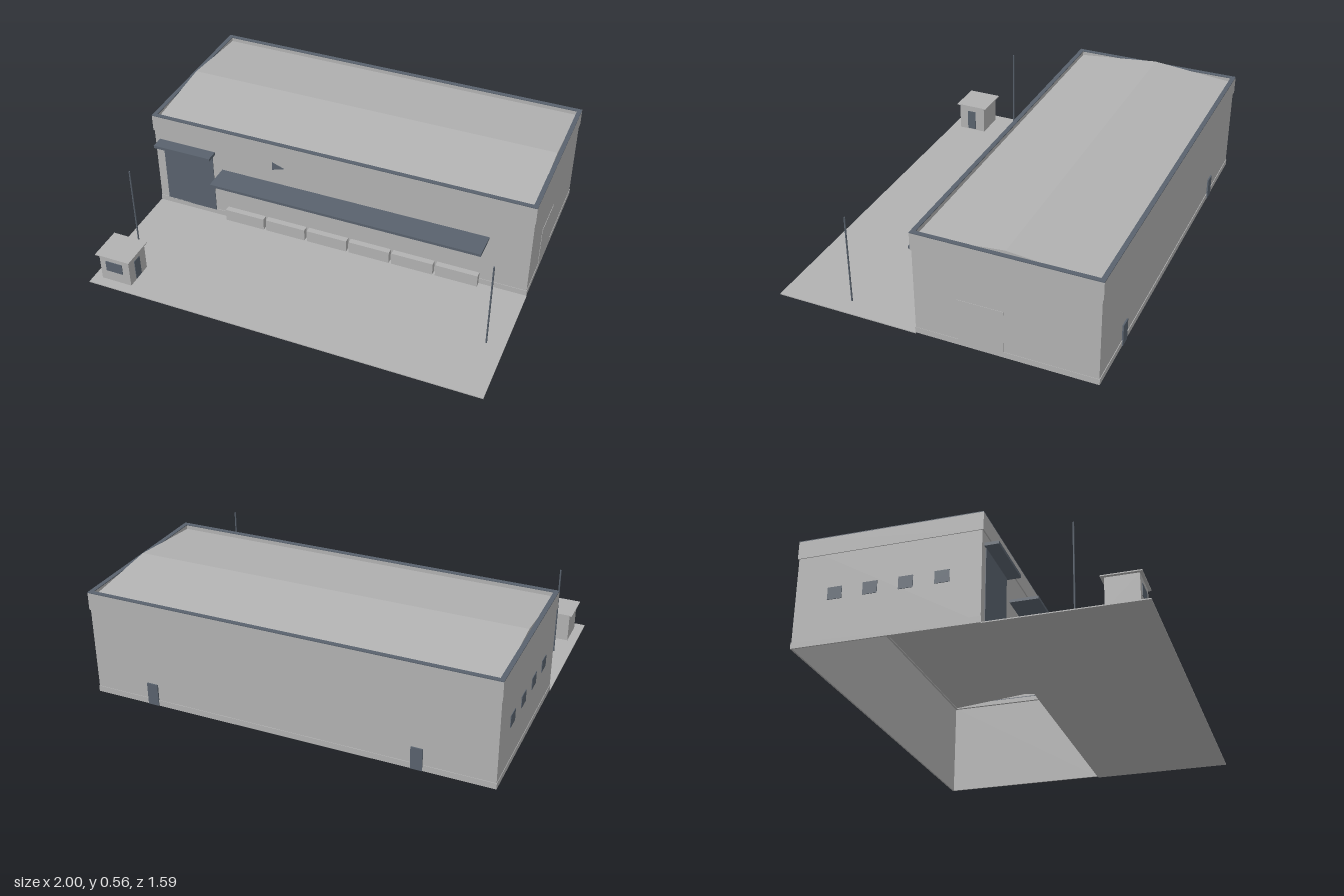
import * as THREE from 'three';

const make = (name, color) => {
  const m = new THREE.MeshStandardMaterial({ color });
  m.name = name;
  return m;
};

export function createModel() {
  const model = new THREE.Group();
  model.name = 'warehouse';
  const grey = make('concrete grey', 0xb2b2b2);
  const greySheet = make('roof grey', 0xb2b2b2);
  greySheet.side = THREE.DoubleSide;
  const dark = make('slate blue', 0x59626d);

  const add = (name, geo, mat, parent = model) => {
    const mesh = new THREE.Mesh(geo, mat);
    mesh.name = name;
    parent.add(mesh);
    return mesh;
  };
  // Box given by its lower and upper limits on each axis
  const box = (name, mat, x0, x1, y0, y1, z0, z1, parent) => {
    const geo = new THREE.BoxGeometry(x1 - x0, y1 - y0, z1 - z0);
    geo.translate((x0 + x1) / 2, (y0 + y1) / 2, (z0 + z1) / 2);
    return add(name, geo, mat, parent);
  };

  // Hollow rectangular ring around the hall
  const midZ = -0.355;
  const rect = (path, w, d) => {
    path.moveTo(-w, -d);
    path.lineTo(w, -d);
    path.lineTo(w, d);
    path.lineTo(-w, d);
    path.closePath();
    return path;
  };
  const ring = (name, mat, w, d, thick, y0, y1) => {
    const shape = rect(new THREE.Shape(), w, d);
    shape.holes.push(rect(new THREE.Path(), w - thick, d - thick));
    const geo = new THREE.ExtrudeGeometry(shape, { depth: y1 - y0, bevelEnabled: false });
    geo.rotateX(-Math.PI / 2);
    geo.translate(0, y0, midZ);
    return add(name, geo, mat);
  };

  // Hall: open-bottomed walls, plinth, parapet band and coping
  ring('walls', grey, 0.996, 0.434, 0.005, 0.005, 0.52);
  ring('plinth', grey, 0.998, 0.437, 0.004, 0.005, 0.035);
  ring('parapetBand', grey, 1, 0.44, 0.006, 0.45, 0.537);
  ring('parapet', grey, 0.998, 0.438, 0.02, 0.512, 0.537);
  ring('coping', dark, 1, 0.44, 0.022, 0.537, 0.541);

  // Low gable roof, two sheets and closed ends
  const roof = new THREE.Group();
  roof.name = 'roof';
  model.add(roof);
  const rx = 0.979, rz = 0.42, eave = 0.517, ridge = 0.556;
  const slope = Math.hypot(rz, ridge - eave);
  for (const s of [-1, 1]) {
    const sheet = new THREE.PlaneGeometry(rx * 2, slope);
    sheet.rotateX(-Math.PI / 2 + s * Math.atan2(ridge - eave, rz));
    sheet.translate(0, (eave + ridge) / 2, midZ + s * rz / 2);
    add('roofSlope', sheet, greySheet, roof);

    const end = new THREE.Shape();
    end.moveTo(-rz, eave);
    end.lineTo(rz, eave);
    end.lineTo(0, ridge);
    const gable = new THREE.ShapeGeometry(end);
    gable.rotateY(s * Math.PI / 2);
    gable.translate(s * rx, 0, midZ);
    add('gableEnd', gable, greySheet, roof);
  }

  // Front: gate through the wall, canopies, pointer sign, dock blocks
  const wallZ = 0.079;
  box('gate', dark, -0.95, -0.67, 0.03, 0.39, wallZ - 0.008, wallZ + 0.003);
  box('gateCanopy', dark, -0.97, -0.655, 0.385, 0.4, wallZ, 0.145);
  box('mainCanopy', dark, -0.62, 0.79, 0.288, 0.302, wallZ, 0.216);
  const tri = new THREE.Shape();
  tri.moveTo(-0.335, 0.383);
  tri.lineTo(-0.272, 0.404);
  tri.lineTo(-0.335, 0.427);
  const sign = new THREE.ExtrudeGeometry(tri, { depth: 0.004, bevelEnabled: false });
  sign.translate(0, 0, wallZ);
  add('pointerSign', sign, dark);
  for (let i = 0; i < 6; i++) {
    const x = -0.6 + i * 0.2287;
    box('dockBlock', grey, x, x + 0.215, 0.003, 0.07, wallZ, 0.11);
  }

  // Side door, four side windows and two back doors
  box('sideDoor', grey, 0.995, 0.998, 0.01, 0.25, -0.35, -0.13);
  for (let i = 0; i < 4; i++) {
    const z = -0.6 + i * 0.167;
    box('sideWindow', dark, -0.999, -0.994, 0.22, 0.28, z - 0.034, z + 0.034);
  }
  for (const x of [-0.635, 0.69]) {
    box('backDoor', dark, x - 0.028, x + 0.028, 0.006, 0.118, -0.796, -0.788);
  }

  // Yard slab with two poles
  box('yard', grey, -1, 1, 0, 0.005, 0.08, 0.795);
  for (const x of [-0.917, 0.912]) {
    const pole = add('pole', new THREE.CylinderGeometry(0.004, 0.004, 0.46, 10), dark);
    pole.position.set(x, 0.235, 0.46);
  }

  // Gatehouse
  const hut = new THREE.Group();
  hut.name = 'gatehouse';
  model.add(hut);
  box('hutBody', grey, -0.955, -0.795, 0.004, 0.153, 0.595, 0.745, hut);
  box('hutRoof', grey, -0.97, -0.785, 0.153, 0.158, 0.58, 0.758, hut);
  box('hutWindow', dark, -0.923, -0.833, 0.064, 0.122, 0.744, 0.748, hut);
  box('hutDoor', dark, -0.796, -0.792, 0.01, 0.12, 0.648, 0.696, hut);

  return model;
}
